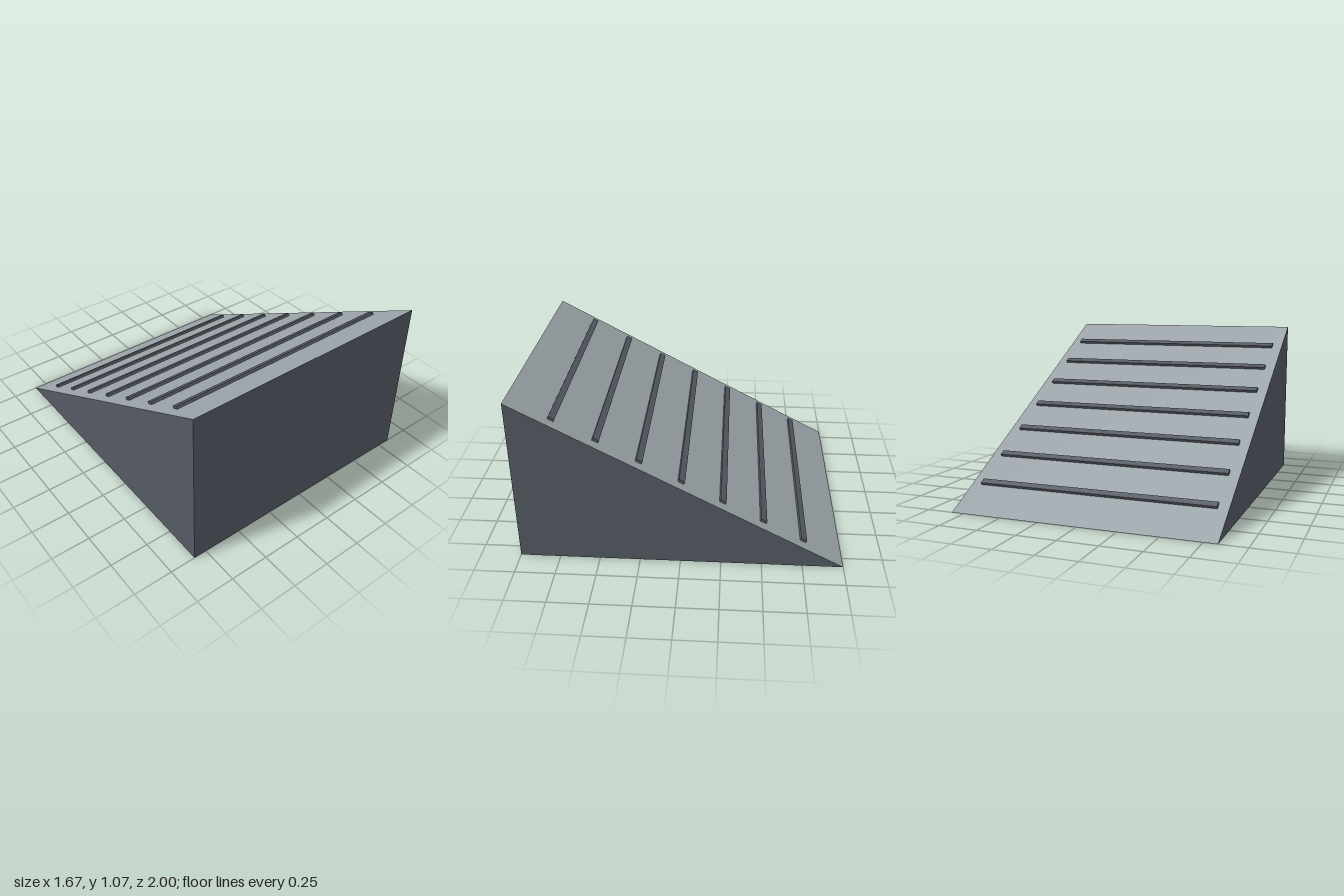
import * as THREE from 'three';

const WIDTH = 1.667, HEIGHT = 1.067, LENGTH = 2;

export function createModel() {
  const model = new THREE.Group();
  model.name = 'ramp';

  const dark = new THREE.MeshStandardMaterial({ color: 0x555a63 });
  dark.name = 'dark grey';
  const light = new THREE.MeshStandardMaterial({ color: 0x9ca5aa });
  light.name = 'light grey';

  // Wedge: a box whose back top edge drops to the floor, so its top becomes the slope
  const wedge = new THREE.BoxGeometry(WIDTH, HEIGHT, LENGTH).translate(0, HEIGHT / 2, 0);
  const pos = wedge.attributes.position;
  for (let i = 0; i < pos.count; i++) {
    if (pos.getZ(i) < 0) pos.setY(i, 0);
  }
  // Remove the collapsed back face (the last box group)
  wedge.setIndex(Array.from(wedge.index.array).slice(0, 30));
  wedge.groups.pop();
  wedge.computeVertexNormals();
  const body = new THREE.Mesh(wedge, [dark, dark, light, dark, dark]);
  body.name = 'wedgeBody';
  model.add(body);

  // Grip cleats lying on the slope
  const cleatHeight = 0.017, sunk = 0.008;
  const cleatGeometry = new THREE.BoxGeometry(1.533, cleatHeight + sunk, 0.04)
    .translate(0, (cleatHeight - sunk) / 2, 0);
  const cleats = new THREE.Group();
  cleats.name = 'cleats';
  for (let i = -3; i <= 3; i++) {
    const z = i * 0.25;
    const cleat = new THREE.Mesh(cleatGeometry, dark);
    cleat.name = 'cleat';
    cleat.position.set(0, HEIGHT * (z + LENGTH / 2) / LENGTH, z);
    cleat.rotation.x = -Math.atan2(HEIGHT, LENGTH);
    cleats.add(cleat);
  }
  model.add(cleats);

  return model;
}
